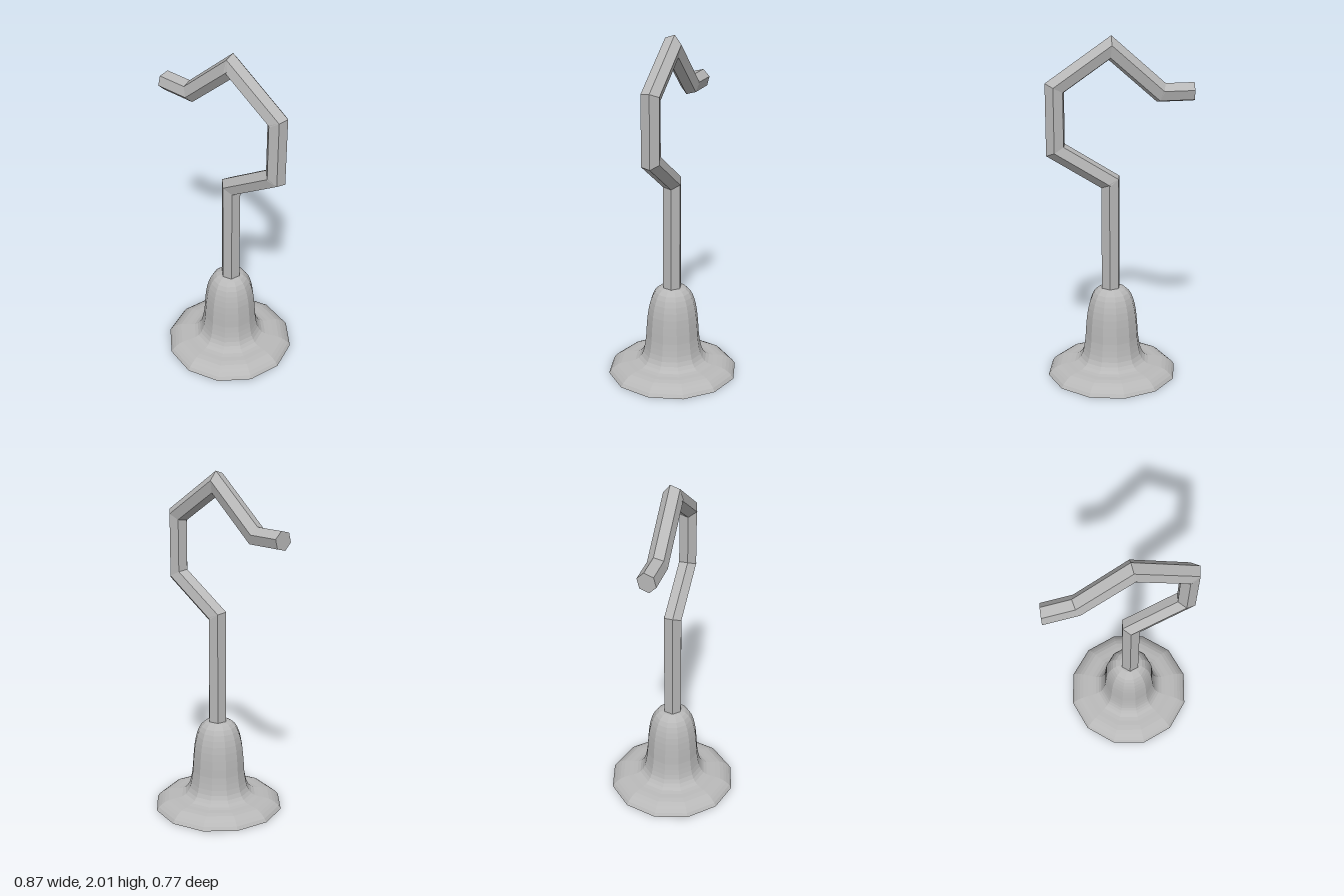
import * as THREE from 'three';

const V2 = (x, y) => new THREE.Vector2(x, y);

// Hexagonal bar swept along a bent path: rounded outside each bend, mitred inside.
function bentBar(path, radius, sides, twist) {
  const normals = [];
  for (let i = 0; i < path.length - 1; i++) {
    const t = path[i + 1].clone().sub(path[i]).normalize();
    normals.push(V2(t.y, -t.x));
  }
  const last = path.length - 1;
  const rings = [];
  path.forEach((p, i) => {
    const n0 = normals[Math.max(i - 1, 0)];
    const n1 = normals[Math.min(i, last - 1)];
    const bend = n0.x * n1.y - n0.y * n1.x;
    const mid = n0.clone().add(n1).normalize();
    const mitre = n0.clone().add(n1).divideScalar(1 + n0.dot(n1));
    const fan = i === 0 || i === last ? [n0] : [n0, mid, n1];
    for (const n of fan) {
      const ring = [];
      for (let j = 0; j < sides; j++) {
        const a = twist + (j / sides) * Math.PI * 2;
        const s = Math.cos(a) * radius;
        const z = Math.sin(a) * radius;
        const dir = s * bend > 0 ? mitre : n;
        // the free end is cut at a slight slant
        const slant = i === last ? -0.13 * z : 0;
        ring.push([p.x + dir.x * s + slant, p.y + dir.y * s, z]);
      }
      rings.push(ring);
    }
  });

  const pos = [];
  const tri = (a, b, c) => pos.push(...a, ...b, ...c);
  for (let i = 0; i < rings.length - 1; i++) {
    for (let j = 0; j < sides; j++) {
      const k = (j + 1) % sides;
      const [a, b, c, d] = [rings[i][j], rings[i][k], rings[i + 1][j], rings[i + 1][k]];
      tri(a, c, b);
      tri(b, c, d);
    }
  }
  // end caps
  const first = rings[0], end = rings[rings.length - 1];
  for (let j = 1; j < sides - 1; j++) {
    tri(first[0], first[j], first[j + 1]);
    tri(end[0], end[j + 1], end[j]);
  }
  const geo = new THREE.BufferGeometry();
  geo.setAttribute('position', new THREE.Float32BufferAttribute(pos, 3));
  geo.computeVertexNormals();
  return geo;
}

export function createModel() {
  const group = new THREE.Group();
  const metal = new THREE.MeshStandardMaterial({ color: 0xb8b8b8, flatShading: true });
  metal.name = 'grey metal';

  // Bell-shaped twelve-sided base with a flared foot
  const profile = [
    [0, 0], [0.385, 0], [0.372, 0.02], [0.353, 0.037], [0.335, 0.049], [0.312, 0.059],
    [0.28, 0.065], [0.25, 0.068], [0.225, 0.073], [0.205, 0.084], [0.19, 0.101],
    [0.178, 0.125], [0.17, 0.155], [0.164, 0.19], [0.159, 0.23], [0.156, 0.28],
    [0.152, 0.33], [0.147, 0.375], [0.14, 0.415], [0.131, 0.45], [0.119, 0.482],
    [0.104, 0.508], [0.084, 0.527], [0.06, 0.537], [0, 0.54],
  ].map(([r, y]) => V2(r, y));
  const base = new THREE.Mesh(new THREE.LatheGeometry(profile, 12), metal);
  base.name = 'bellBase';
  base.position.x = 0.047;
  group.add(base);

  // Post that bends into the open hook
  const path = [
    [0.053, 0.5], [0.053, 1.18], [0.365, 1.382], [0.365, 1.732],
    [0.053, 1.944], [-0.24, 1.685], [-0.43, 1.685],
  ].map(([x, y]) => V2(x, y));
  const hook = new THREE.Mesh(bentBar(path, 0.057, 6, Math.PI / 4), metal);
  hook.name = 'postAndHook';
  group.add(hook);

  return group;
}
